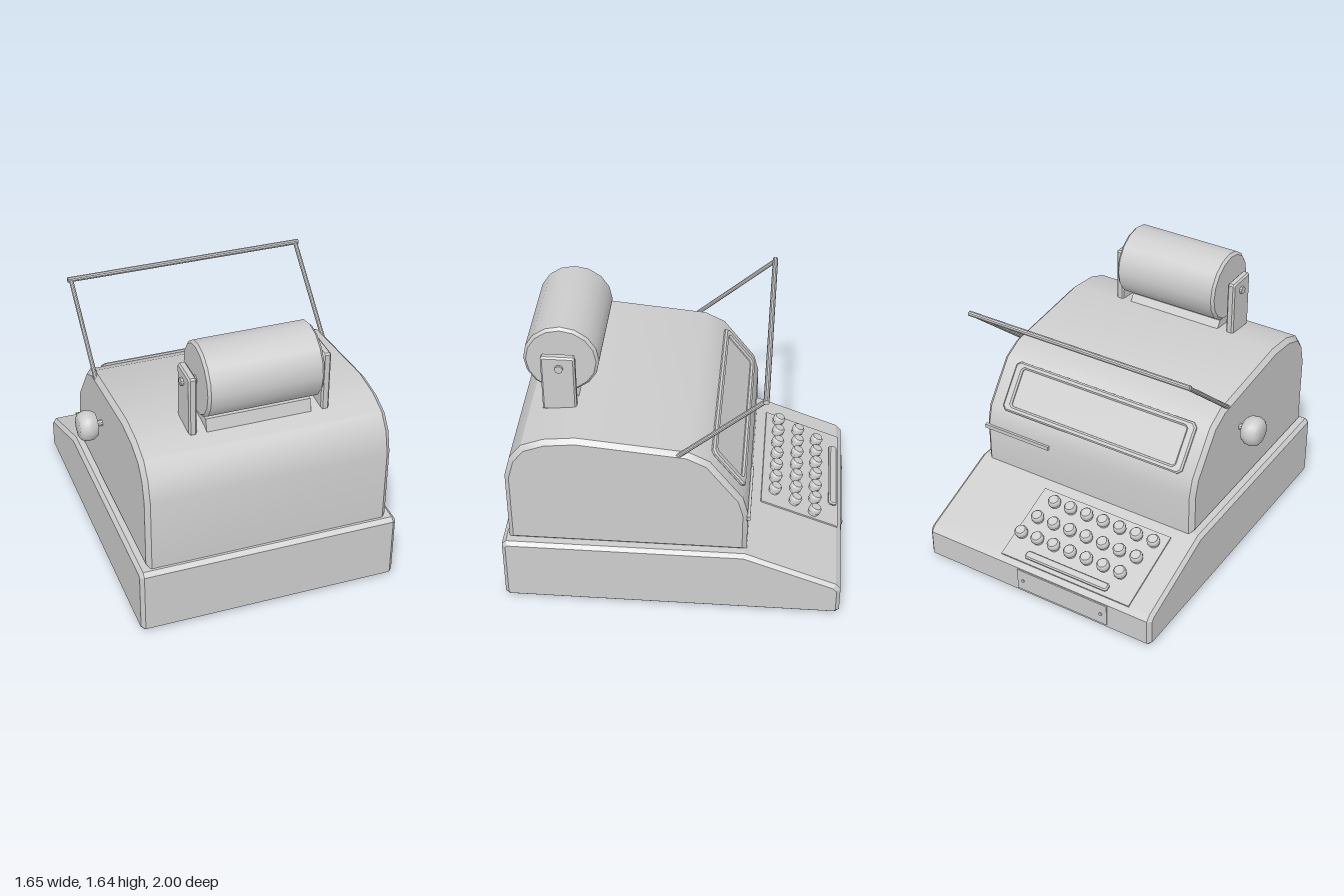
import * as THREE from 'three';
import { toCreasedNormals } from 'three/addons/utils/BufferGeometryUtils.js';

const grey = new THREE.MeshStandardMaterial({ color: 0xcccccc });
grey.name = 'machine grey';

function add(parent, name, geometry, crease = 0.5) {
  const mesh = new THREE.Mesh(toCreasedNormals(geometry, crease), grey);
  mesh.name = name;
  parent.add(mesh);
  return mesh;
}

function bevelled(shape, depth, b) {
  return new THREE.ExtrudeGeometry(shape, {
    depth: depth - 2 * b, bevelEnabled: b > 0, bevelThickness: b,
    bevelSize: b, bevelOffset: -b, bevelSegments: 1,
  }).translate(0, 0, b);
}

// Side profile of [z, y] points, swept from x0 to x1
function sweep(points, x0, x1, b) {
  const shape = new THREE.Shape(points.map(([z, y]) => new THREE.Vector2(-z, y)));
  return bevelled(shape, x1 - x0, b).rotateY(Math.PI / 2).translate(x0, 0, 0);
}

// Turned part about the x axis, from [radius, x] points
function turned(points, sides) {
  return new THREE.LatheGeometry(points.map(([r, x]) => new THREE.Vector2(r, x)), sides)
    .rotateZ(-Math.PI / 2);
}

function rod(a, b, r) {
  const path = new THREE.LineCurve3(new THREE.Vector3(...a), new THREE.Vector3(...b));
  const len = path.getLength();
  const q = new THREE.Quaternion().setFromUnitVectors(new THREE.Vector3(0, 1, 0), path.getTangent(0));
  const mid = path.getPoint(0.5);
  return new THREE.CylinderGeometry(r, r, len, 10).applyQuaternion(q).translate(mid.x, mid.y, mid.z);
}

// Rectangle with cut corners, centred on cx
function cutRect(Type, w, h, c, cx = 0) {
  const x = w / 2, y = h / 2;
  return new Type([[-x + c, -y], [x - c, -y], [x, -y + c], [x, y - c],
    [x - c, y], [-x + c, y], [-x, y - c], [-x, -y + c]]
    .map(([u, v]) => new THREE.Vector2(u + cx, v)));
}

function box(x0, x1, y0, y1, z0, z1) {
  return new THREE.BoxGeometry(x1 - x0, y1 - y0, z1 - z0)
    .translate((x0 + x1) / 2, (y0 + y1) / 2, (z0 + z1) / 2);
}

export function createModel() {
  const model = new THREE.Group();
  model.name = 'accountingMachine';

  // Base with sloping keyboard deck
  add(model, 'base', sweep([
    [0.97, 0], [0.995, 0.022], [0.995, 0.395], [0.97, 0.418], [-0.42, 0.418],
    [-0.955, 0.218], [-0.985, 0.185], [-0.985, 0.022], [-0.96, 0],
  ], -0.737, 0.825, 0.022), 0.3);

  // Rounded housing
  add(model, 'housing', sweep([
    [0.955, 0.41], [0.955, 0.87], [0.92, 1.0], [0.85, 1.09], [0.72, 1.14], [0.54, 1.16],
    [-0.09, 1.1], [-0.21, 1.04], [-0.4, 0.79], [-0.43, 0.68], [-0.43, 0.41],
  ], -0.685, 0.775, 0.027));

  // Window on the sloping face
  const window = new THREE.Group();
  window.name = 'window';
  window.position.set(0.04, 0.915, -0.305);
  window.rotation.x = -0.92;
  model.add(window);
  const frame = cutRect(THREE.Shape, 1.25, 0.31, 0.025);
  frame.holes.push(cutRect(THREE.Path, 1.14, 0.235, 0.012));
  add(window, 'windowFrame', bevelled(frame, 0.03, 0.01).rotateX(-Math.PI / 2).translate(0, -0.008, 0));
  add(window, 'windowPanel', box(-0.58, 0.58, -0.005, 0.005, -0.125, 0.125));

  // Tear bar across the housing
  add(model, 'tearBar', box(0.31, 0.772, 0.645, 0.67, -0.445, -0.425));

  // Wire handle
  for (const x of [-0.672, 0.762]) {
    add(model, 'handleArm', rod([x, 1.07, -0.02], [x, 1.49, -0.51], 0.013));
  }
  add(model, 'handleBar', rod([-0.692, 1.49, -0.51], [0.78, 1.49, -0.51], 0.016));

  // Paper roll, axle and brackets
  const roll = new THREE.Group();
  roll.name = 'paperRoll';
  roll.position.set(0, 1.42, 0.66);
  model.add(roll);
  add(roll, 'roll', turned([
    [0, -0.295], [0.2, -0.295], [0.216, -0.279], [0.216, 0.365], [0.2, 0.381], [0, 0.381],
  ], 16));
  add(roll, 'axle', rod([-0.385, 0, 0], [0.475, 0, 0], 0.024));
  for (const x of [-0.37, 0.412]) {
    add(model, 'rollBracket', sweep([
      [0.57, 1.13], [0.765, 1.13], [0.765, 1.48], [0.755, 1.49], [0.58, 1.49], [0.57, 1.48],
    ], x, x + 0.048, 0.01));
  }
  add(model, 'paperGuide', sweep([
    [0.56, 1.14], [0.6, 1.2], [0.74, 1.2], [0.76, 1.12],
  ], -0.265, 0.355, 0));

  // Side knob
  const knob = new THREE.Group();
  knob.name = 'sideKnob';
  knob.position.set(0, 0.865, 0.11);
  model.add(knob);
  add(knob, 'knobHead', turned([
    [0, -0.83], [0.062, -0.83], [0.082, -0.815], [0.092, -0.785], [0.088, -0.75],
    [0.07, -0.722], [0, -0.718],
  ], 16), 0.7);
  add(knob, 'knobShaft', rod([-0.73, 0, 0], [-0.67, 0, 0], 0.02));

  // Keyboard on the sloping deck
  const keyboard = new THREE.Group();
  keyboard.name = 'keyboard';
  keyboard.position.set(0, 0.313, -0.7);
  keyboard.rotation.x = -0.358;
  model.add(keyboard);
  add(keyboard, 'keyPlate', box(-0.58, 0.303, -0.01, 0.01, -0.277, 0.222));
  const keyShape = [[0.032, 0], [0.032, 0.025], [0.039, 0.03], [0.039, 0.055], [0.03, 0.066], [0, 0.066]]
    .map(([r, y]) => new THREE.Vector2(r, y));
  for (const [x, z] of [[-0.51, -0.58], [-0.472, -0.705], [-0.436, -0.825]]) {
    for (let i = 0; i < 7; i++) {
      const key = add(keyboard, 'key', new THREE.LatheGeometry(keyShape, 10), 0.7);
      key.position.set(x + i * 0.115, 0, (z + 0.717) / 0.937);
    }
  }
  add(keyboard, 'spaceBar', bevelled(cutRect(THREE.Shape, 0.57, 0.052, 0.012, -0.14), 0.024, 0.008)
    .rotateX(-Math.PI / 2).translate(0, 0.022, -0.233));
  for (const x of [-0.35, 0.07]) add(keyboard, 'spaceBarPost', box(x - 0.012, x + 0.012, 0, 0.03, -0.245, -0.22));

  // Plate with two screws on the keyboard end
  add(model, 'endPlate', box(-0.45, 0.17, 0.04, 0.18, -0.993, -0.983));
  for (const x of [-0.41, 0.13]) add(model, 'screw', rod([x, 0.11, -0.985], [x, 0.11, -1.0], 0.01));

  return model;
}
